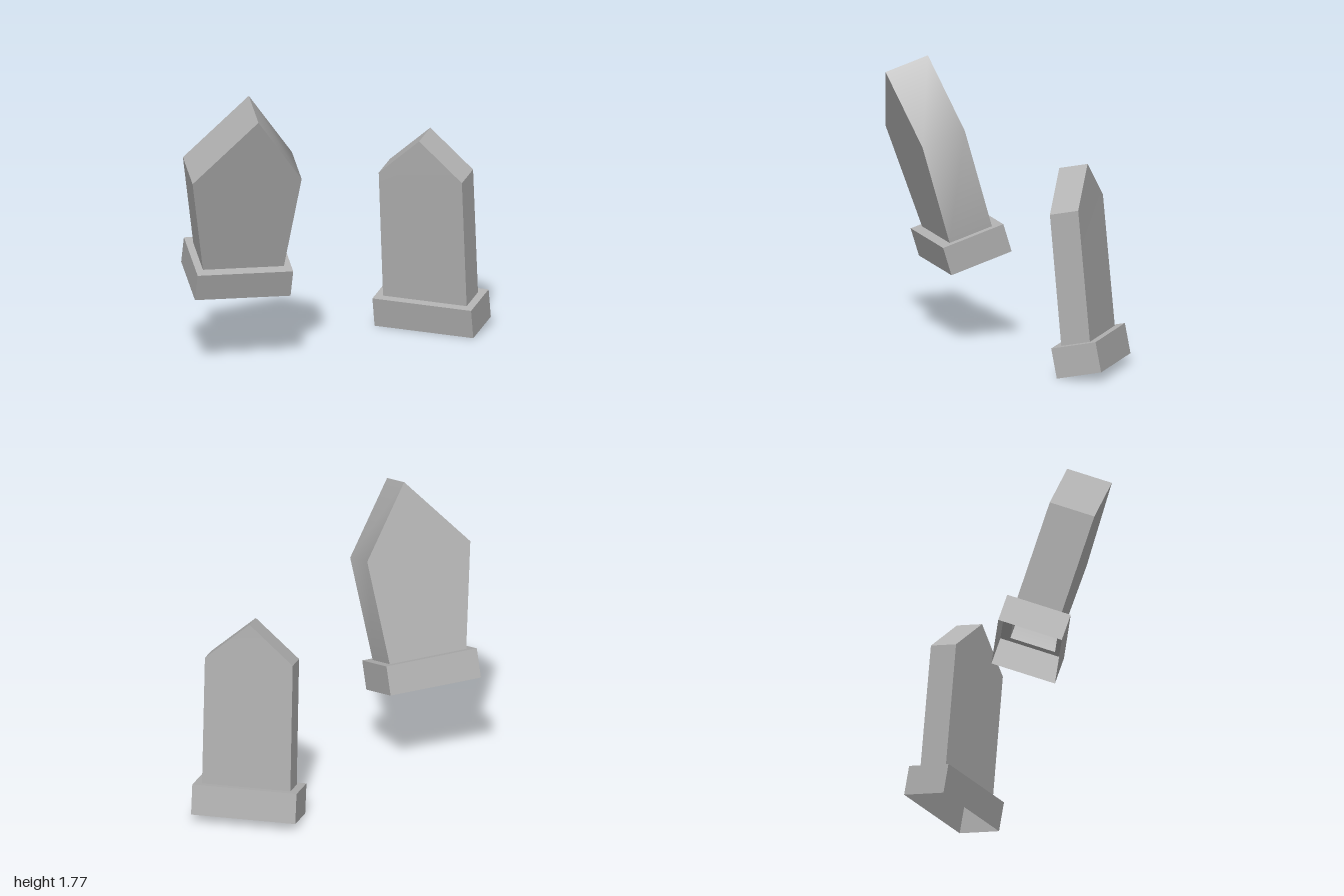
import * as THREE from 'three';
import { toCreasedNormals } from 'three/addons/utils/BufferGeometryUtils.js';

const stone = new THREE.MeshStandardMaterial({ color: 0xb0b0b0, side: THREE.DoubleSide });
stone.name = 'greyStone';

// four corners: front left, front right, back right, back left
function ring(width, depth, y, x = 0, z = 0) {
  return [[-1, 1], [1, 1], [1, -1], [-1, -1]].map(([sx, sz]) => [x + sx * width / 2, y, z + sz * depth / 2]);
}

// walls between two rings
function walls(a, b) {
  return a.map((p, i) => [p, a[(i + 1) % 4], b[(i + 1) % 4], b[i]]);
}

// mesh from a list of triangles and quads
function faceMesh(name, faces) {
  const points = [];
  for (const f of faces) {
    for (let i = 1; i < f.length - 1; i++) points.push(...f[0], ...f[i], ...f[i + 1]);
  }
  const geometry = new THREE.BufferGeometry();
  geometry.setAttribute('position', new THREE.Float32BufferAttribute(points, 3));
  const mesh = new THREE.Mesh(toCreasedNormals(geometry, 0.76), stone);
  mesh.name = name;
  return mesh;
}

function gravestone(name, { base, foot, shoulder, apex, position, rotation }) {
  const [w, h, d] = base;
  const rim = ring(w, d, h);
  const bottom = ring(foot[0], foot[1], h);
  const top = ring(shoulder.width, shoulder.depth, h + shoulder.y, shoulder.x, shoulder.z);
  const half = shoulder.depth / 2;
  const ridgeFront = [apex.x, h + apex.y, apex.z + half];
  const ridgeBack = [apex.x, h + apex.y, apex.z - half];
  const [fl, fr, br, bl] = top;

  const group = new THREE.Group();
  group.name = name;
  // hollow plinth with a ledge around the slab
  group.add(faceMesh('plinth', [...walls(ring(w, d, 0), rim), ...walls(rim, bottom)]));
  // slab with a pointed top, open underneath
  group.add(faceMesh('slab', [
    ...walls(bottom, top),
    [fl, fr, ridgeFront],
    [fr, br, ridgeBack, ridgeFront],
    [br, bl, ridgeBack],
    [bl, fl, ridgeFront, ridgeBack],
  ]));
  group.position.set(...position);
  group.rotation.set(...rotation, 'YXZ');
  return group;
}

export function createModel() {
  const model = new THREE.Group();
  model.name = 'gravestones';
  model.add(
    gravestone('flaredGravestone', {
      base: [0.602, 0.183, 0.41],
      foot: [0.51, 0.288],
      shoulder: { width: 0.687, depth: 0.288, y: 0.651, x: -0.038, z: 0 },
      apex: { x: -0.008, y: 1.092, z: 0 },
      position: [-0.65, 0.515, 0.113],
      rotation: [0.31, 0.064, -0.026],
    }),
    gravestone('straightGravestone', {
      base: [0.655, 0.19, 0.288],
      foot: [0.555, 0.186],
      shoulder: { width: 0.552, depth: 0.184, y: 0.814, x: 0, z: -0.081 },
      apex: { x: 0, y: 1.055, z: -0.108 },
      position: [0.645, 0.0275, -0.35],
      rotation: [0.19, -0.545, 0],
    }),
  );
  return model;
}
